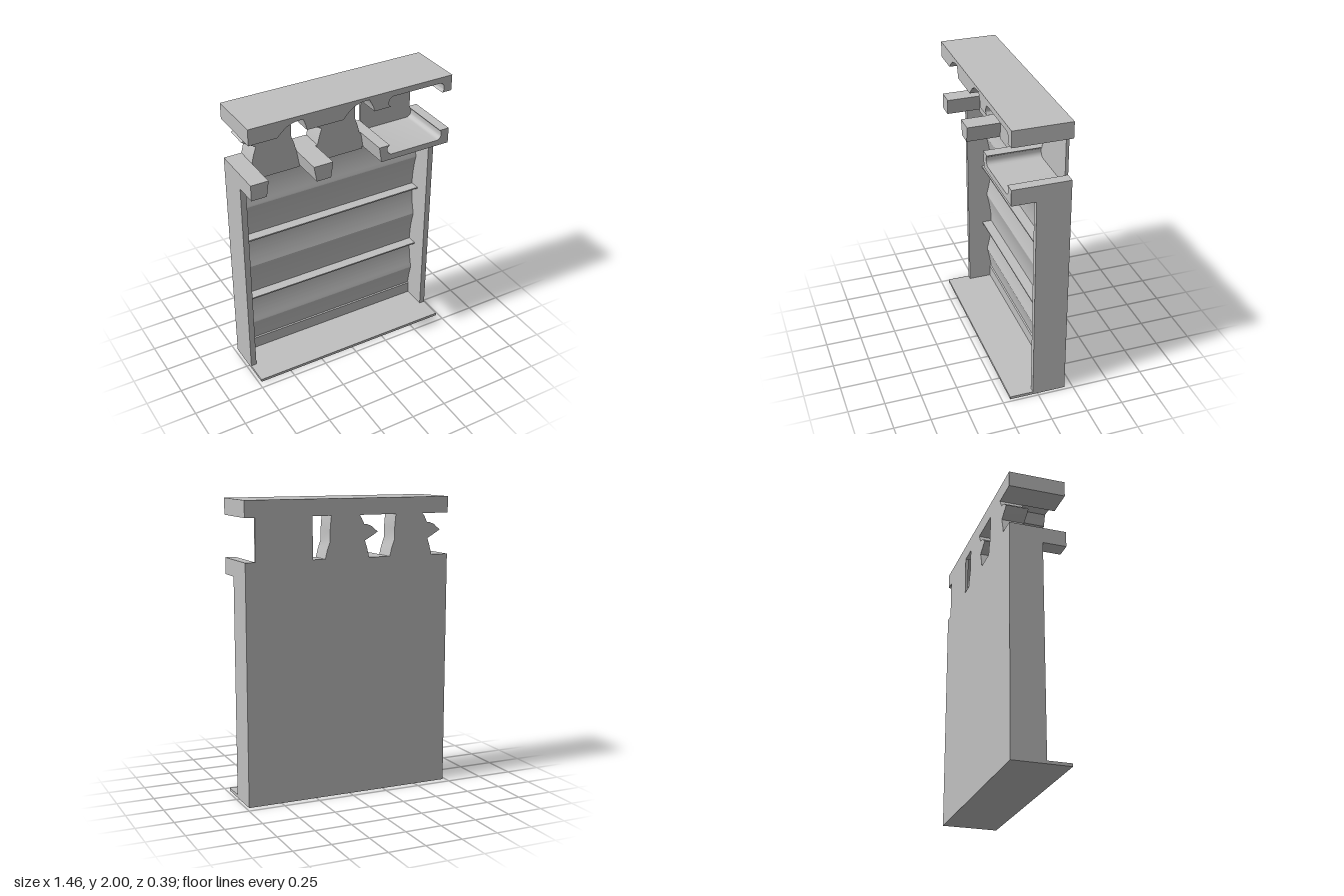
import * as THREE from 'three';
import { toCreasedNormals } from 'three/addons/utils/BufferGeometryUtils.js';

export function createModel() {
  const group = new THREE.Group();
  const grey = new THREE.MeshStandardMaterial({ color: 0xc0c0c0 });
  grey.name = 'light grey';

  const add = (name, geo) => {
    const mesh = new THREE.Mesh(geo, grey);
    mesh.name = name;
    group.add(mesh);
    return mesh;
  };
  const box = (name, x0, x1, y0, y1, z0, z1) => add(name,
    new THREE.BoxGeometry(x1 - x0, y1 - y0, z1 - z0)
      .translate((x0 + x1) / 2, (y0 + y1) / 2, (z0 + z1) / 2));
  const slab = (pts, depth) => new THREE.ExtrudeGeometry(
    new THREE.Shape(pts.map(p => new THREE.Vector2(p[0], p[1]))),
    { depth, bevelEnabled: false });
  const plate = (name, pts, z0, z1) =>
    add(name, toCreasedNormals(slab(pts, z1 - z0).translate(0, 0, z0), 0.35));

  const W = 0.73, BACK = -0.195, FRONT = 0.195, FACE = -0.04, THIN = -0.175;

  // Base, side walls and back
  box('basePlate', -W, W, 0, 0.02, BACK, FRONT);
  box('backPlate', -W, W, 0.02, 1.61, BACK, THIN);
  for (const s of [-1, 1]) {
    box('sideWall', Math.min(s * 0.69, s * W), Math.max(s * 0.69, s * W), 0.02, 1.5, BACK, 0.033);
  }

  // Ribbed panel: coves sweep out to a ridge between neighbouring fins
  const fins = [1.485, 1.0, 0.515], half = 0.2425, valley = -0.145;
  const profile = [[THIN, 0.02], [-0.132, 0.02], [-0.132, 0.105]];
  for (let y = 0.11; y < 1.485; y += 0.01) {
    const d = Math.abs(((y - 0.03) / (2 * half)) % 1 - 0.5) * 2;
    profile.push([valley + 0.035 * (1 - d) ** 2, y]);
  }
  profile.push([valley, 1.5], [THIN, 1.5]);
  add('ribbedPanel', toCreasedNormals(
    slab(profile, 1.38).rotateY(-Math.PI / 2).translate(0.69, 0, 0), 0.3));
  for (const y of fins) box('fin', -0.69, 0.69, y - 0.005, y + 0.005, THIN, -0.075);

  // Beaked figures: the head is a smooth curve
  const head = new THREE.CatmullRomCurve3([
    [-0.57, 1.83], [-0.54, 1.885], [-0.47, 1.948], [-0.41, 1.968], [-0.358, 1.97],
  ].map(p => new THREE.Vector3(p[0], p[1], 0))).getPoints(16).map(p => [p.x, p.y]);
  const nape = [[-0.342, 1.925], [-0.331, 1.87], [-0.325, 1.8], [-0.325, 1.725]];
  const figure = [
    [-0.27, 1.487], [-0.276, 1.54], [-0.29, 1.61], [-0.305, 1.67],
    ...[...nape].reverse(), ...[...head].reverse(),
    [-0.59, 1.828], [-0.625, 1.815], [-0.645, 1.795], [-0.67, 1.778], [-0.625, 1.75], [-0.575, 1.722],
    [-0.592, 1.67], [-0.607, 1.61], [-0.618, 1.55], [-0.625, 1.487],
  ];
  const PITCH = 0.47;
  for (const dx of [0, PITCH]) {
    plate('figure', figure.map(([x, y]) => [x + dx, y]), BACK, FACE);
  }

  // Lower ledge, cut away in front of the figures
  box('ledgeCore', -W, 0.23, 1.5, 1.61, THIN, FACE);
  plate('ledgeLeftBlock', [[-W, 1.5], [-0.623, 1.5], [-0.607, 1.61], [-W, 1.61]], FACE, FRONT);
  plate('ledgeMiddleBlock', [[-0.271, 1.5], [-0.168, 1.5], [-0.152, 1.61], [-0.29, 1.61]], FACE, FRONT);

  // Rounded recess shared by the ledge and the top bar, listed from +x to -x
  const recess = [[0.66, 1.61], [0.667, 1.603], [0.672, 1.592]];
  const corner = (cx, from) => {
    for (let i = 0; i <= 6; i++) {
      const a = from - (i / 6) * Math.PI / 2;
      recess.push([cx + 0.035 * Math.cos(a), 1.575 + 0.035 * Math.sin(a)]);
    }
  };
  corner(0.637, 0);
  corner(0.288, -Math.PI / 2);
  recess.push([0.253, 1.592], [0.26, 1.603], [0.268, 1.61]);
  plate('ledgeRightBlock', [[0.208, 1.5], [W, 1.5], [W, 1.61], ...recess, [0.19, 1.61]], THIN, FRONT);
  box('spoolPanel', 0.268, 0.66, 1.53, 1.97, BACK, THIN);

  // Top bar, hollowed underneath around the heads and the recess
  const bar = 1.89;
  const hollow = (dx, grow) => [
    [-0.538 - grow + dx, bar],
    ...head.filter(p => p[1] > bar).map(([x, y]) => [x + dx - grow * 0.4, y + grow]),
    [-0.342 + grow + dx, 1.925], [-0.334 + grow + dx, bar],
  ];
  plate('topBarLeft', [
    [-W, 2], [-W, bar], ...hollow(0, 0), ...hollow(PITCH, 0.01), [0.2, bar], [0.2, 2],
  ], FACE, FRONT);
  box('topBarCore', -W, 0.2, bar, 2, THIN, FACE);
  plate('topBarRight', [
    [0.2, 2], [W, 2], [W, bar], ...recess.map(([x, y]) => [x, 3.5 - y]), [0.2, bar],
  ], THIN, FRONT);
  box('topBarBack', -W, W, bar, 2, BACK, THIN);

  return group;
}
